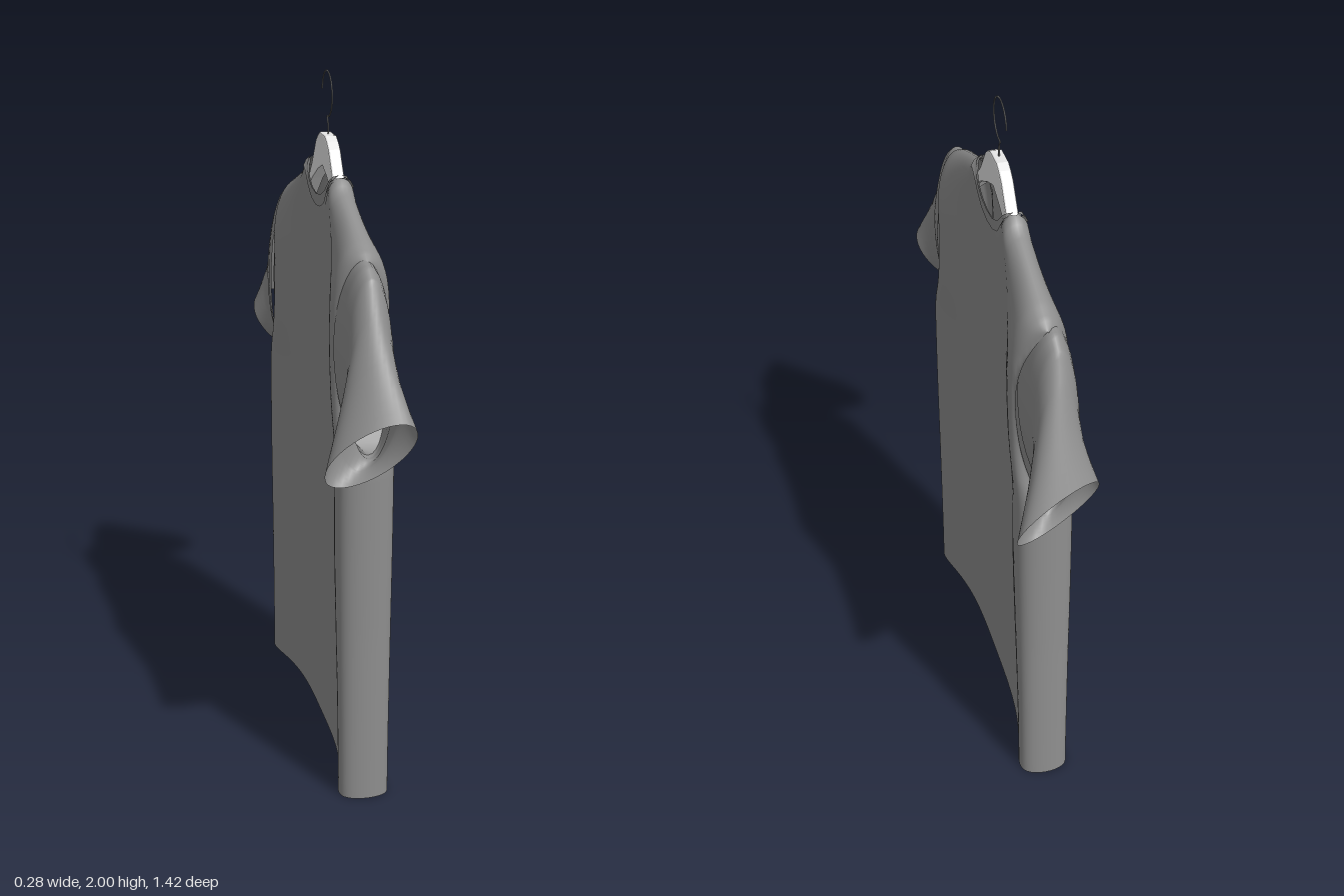
import * as THREE from 'three';
import { mergeVertices } from 'three/addons/utils/BufferGeometryUtils.js';

const { lerp, clamp, smoothstep } = THREE.MathUtils;

// Piecewise linear lookup in a list of [key, value] pairs
function lookup(table, k) {
  let i = 1;
  while (i < table.length - 1 && k > table[i][0]) i++;
  const [a, b] = [table[i - 1], table[i]];
  return lerp(a[1], b[1], clamp((k - a[0]) / (b[0] - a[0]), 0, 1));
}

// Smooth welded sheet from a rule f(u, v) -> [x, y, z]
function sheet(nu, nv, f) {
  const g = new THREE.PlaneGeometry(1, 1, nu, nv);
  const p = g.attributes.position;
  for (let i = 0; i < p.count; i++) {
    p.setXYZ(i, ...f((i % (nu + 1)) / nu, Math.floor(i / (nu + 1)) / nv));
  }
  g.deleteAttribute('uv');
  g.deleteAttribute('normal');
  const welded = mergeVertices(g, 1e-5);
  welded.computeVertexNormals();
  return welded;
}

const CENTRE_X = 0.01, SHOULDER = 0.49, NECK = 0.165;
// Height of the upper edge by distance from the middle: neckline, then shoulder
const upperEdge = [[0, 1.652], [0.06, 1.66], [0.11, 1.682], [0.15, 1.725],
  [NECK, 1.735], [0.2, 1.70], [0.3, 1.66], [0.42, 1.612], [0.46, 1.592], [SHOULDER, 1.57]];
// Half width of the body by height, with the armhole cut in
const halfWidth = [[0, 0.547], [0.5, 0.541], [1.0, 0.54], [1.06, 0.532], [1.12, 0.50],
  [1.18, 0.475], [1.27, 0.458], [1.36, 0.452], [1.46, 0.464], [1.57, SHOULDER]];

const topOf = (s) => lookup(upperEdge, Math.abs(s) * SHOULDER);

// Point on the body: s across (-1..1), height y, side +1 or -1, extra offset
function bodyPoint(s, y, side, extra = 0) {
  const n = Math.abs(s) * SHOULDER;
  const armhole = 0.66 * Math.sqrt(Math.max(0, 1 - ((y - 1.31) / 0.26) ** 2));
  const edge = Math.max(Math.sqrt(Math.max(0, 1 - s ** 12)), armhole);
  // The top closes sharply beside the neck and roundly over the shoulder
  const reach = lerp(0.05, 0.18, smoothstep(n, NECK, 0.4));
  const close = 1 - (1 - clamp((topOf(s) - y) / reach, 0, 1)) ** 2;
  const open = n < NECK ? 1 - (n / NECK) ** 4 : 0;
  // The panels draw together in the middle of the hem
  const hang = smoothstep(y, 0, 0.9);
  const base = lerp(0.016, 0.031, hang);
  const depth = base + (0.113 - base) * Math.abs(s) ** lerp(3.4, 2.5, hang);
  const thick = depth * edge * Math.sqrt(Math.max(close, open));
  const z = lerp(-0.027, -0.01, clamp(y / 1.1, 0, 1)) + s * lookup(halfWidth, y);
  return [CENTRE_X + side * (thick + extra), y, z];
}

// Sleeve rings from armhole to cuff: upper point (z, y), lower point (z, y), half depth
const sleeveRings = [
  [0.47, 1.575, 0.52, 1.05, 0.074],
  [0.512, 1.567, 0.535, 1.045, 0.07],
  [0.55, 1.54, 0.548, 1.045, 0.064],
  [0.592, 1.45, 0.562, 1.04, 0.065],
  [0.64, 1.335, 0.582, 1.03, 0.083],
  [0.705, 1.18, 0.622, 1.012, 0.118],
];

// Point on a sleeve: u around, v along, zTwist turns the cuff
function sleevePoint(u, v, zTwist) {
  const k = v * (sleeveRings.length - 1);
  const i = Math.min(Math.floor(k), sleeveRings.length - 2);
  const [tz, ty, bz, by, hx] = sleeveRings[i].map((a, j) => lerp(a, sleeveRings[i + 1][j], k - i));
  const a = u * Math.PI * 2, c = Math.cos(a) * 0.5 + 0.5, sn = Math.sin(a);
  const twist = smoothstep(v, 0.4, 1);
  return [
    lerp(CENTRE_X * 0.5, -0.02, twist) + sn * hx,
    lerp(by, ty, c) + twist * 0.055 * sn,
    lerp(bz, tz, c) + twist * zTwist * sn - 0.07 * (1 - v) ** 3 * sn * sn,
  ];
}

export function createModel() {
  const model = new THREE.Group();
  const fabric = new THREE.MeshStandardMaterial({ color: 0x8e8e8e, side: THREE.DoubleSide });
  fabric.name = 'grey fabric';
  const pale = new THREE.MeshStandardMaterial({ color: 0xe8e8e8 });
  pale.name = 'pale hanger';
  const metal = new THREE.MeshStandardMaterial({ color: 0x7c7c7c });
  metal.name = 'hook metal';

  const add = (name, geometry, material, parent = model) => {
    const mesh = new THREE.Mesh(geometry, material);
    mesh.name = name;
    parent.add(mesh);
    return mesh;
  };

  // Shirt body: one loop of front and back panels, open at hem and neck
  add('shirtBody', sheet(160, 60, (u, v) => {
    const side = u < 0.5 ? 1 : -1;
    const s = Math.sin((u < 0.5 ? 4 * u - 1 : 3 - 4 * u) * Math.PI / 2);
    return bodyPoint(s, topOf(s) * (1 - v ** 1.6), side);
  }), fabric);

  // Collar band along both sides of the neckline
  for (const side of [1, -1]) {
    add(side > 0 ? 'collarLeft' : 'collarRight', sheet(40, 2, (u, v) => {
      const s = (u * 2 - 1) * NECK / SHOULDER;
      return bodyPoint(s, topOf(s) + 0.003 - v * 0.034, side, 0.004);
    }), fabric);
  }

  // Sleeves: the back one is turned half way round, with its cuff twisted the other way
  add('frontSleeve', sheet(40, 25, (u, v) => sleevePoint(u, v, 0.028)), fabric);
  add('backSleeve', sheet(40, 25, (u, v) => sleevePoint(u, v, -0.022)), fabric).rotation.y = Math.PI;

  // Hanger: an arched bar drawn in z and y, reaching into the shoulders
  const hanger = new THREE.Group();
  hanger.name = 'hanger';
  hanger.position.set(0.012, 0, -0.018);
  model.add(hanger);
  const outer = [[0.035, 1.822], [0.06, 1.81], [0.085, 1.792], [0.14, 1.718], [0.19, 1.665], [0.28, 1.615], [0.4, 1.56]];
  const inner = [[0.4, 1.525], [0.26, 1.58], [0.14, 1.668], [0.06, 1.71], [0, 1.732]];
  const half = [...outer, ...inner];
  const outline = [...half, ...half.slice(0, -1).reverse().map(([z, y]) => [-z, y])];
  const bar = new THREE.ExtrudeGeometry(
    new THREE.Shape(outline.map(([z, y]) => new THREE.Vector2(z, y))),
    { depth: 0.026, bevelEnabled: true, bevelSize: 0.005, bevelThickness: 0.005, bevelOffset: -0.005, bevelSegments: 2 });
  bar.translate(0, 0, -0.013).rotateY(-Math.PI / 2);
  add('hangerBar', bar, pale, hanger);

  // Wire hook
  const path = [new THREE.Vector3(0, 1.8, 0), new THREE.Vector3(0, 1.855, 0)];
  for (let i = 0; i <= 14; i++) {
    const a = -Math.PI / 2 - (i / 14) * Math.PI * 1.48;
    path.push(new THREE.Vector3(0, 1.934 + Math.sin(a) * 0.064, -0.01 - Math.cos(a) * 0.066));
  }
  add('hook', new THREE.TubeGeometry(new THREE.CatmullRomCurve3(path), 80, 0.0022, 8), metal, hanger);

  return model;
}
